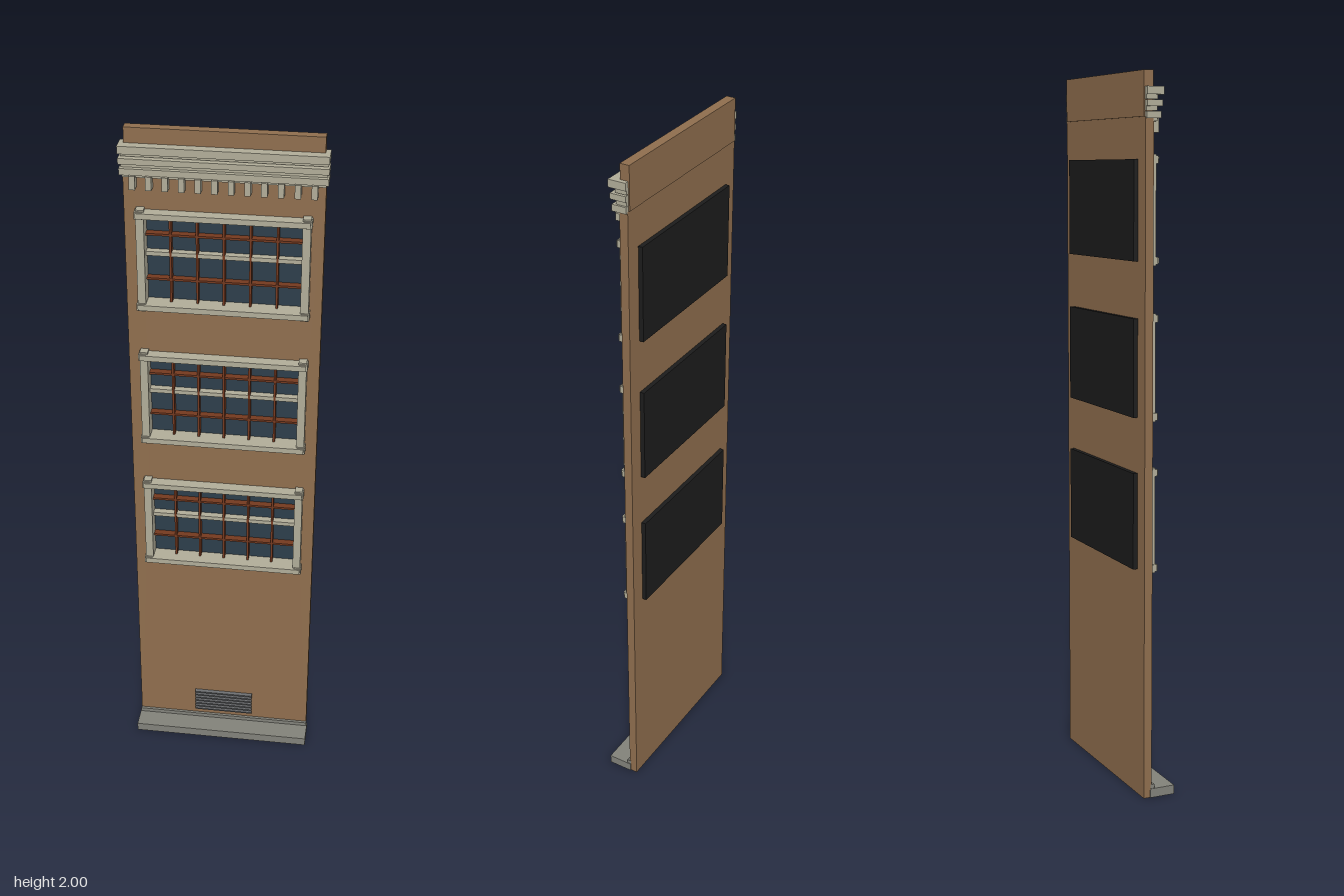
import * as THREE from 'three';

const material = (name, color) => {
  const m = new THREE.MeshStandardMaterial({ color });
  m.name = name;
  return m;
};

export function createModel() {
  const brick = material('brown wall', 0x8f6e4e);
  const stone = material('pale stone trim', 0xb1ad99);
  const plinthGrey = material('plinth grey', 0x82827a);
  const glassBlue = material('dark blue glass', 0x2d3e4b);
  const rust = material('rust glazing bar', 0x74391f);
  const black = material('black backing', 0x1c1c1c);
  const ventGrey = material('vent grey', 0x66686a);

  const model = new THREE.Group();
  model.name = 'facadePanel';

  // Box given by its limits on each axis
  const box = (parent, name, mat, [x0, x1], [y0, y1], [z0, z1]) => {
    const mesh = new THREE.Mesh(new THREE.BoxGeometry(x1 - x0, y1 - y0, z1 - z0), mat);
    mesh.position.set((x0 + x1) / 2, (y0 + y1) / 2, (z0 + z1) / 2);
    mesh.name = name;
    parent.add(mesh);
    return mesh;
  };
  const group = (name) => {
    const g = new THREE.Group();
    g.name = name;
    model.add(g);
    return g;
  };

  const windowCentres = [0.787, 1.211, 1.635];

  // Wall slab with three window openings
  const rectangle = (path, w, y0, y1) =>
    path.moveTo(-w, y0).lineTo(w, y0).lineTo(w, y1).lineTo(-w, y1).closePath();
  const wallShape = rectangle(new THREE.Shape(), 0.265, 0, 1.88);
  for (const y of windowCentres) {
    wallShape.holes.push(rectangle(new THREE.Path(), 0.215, y - 0.132, y + 0.132));
  }
  const wall = new THREE.Mesh(
    new THREE.ExtrudeGeometry(wallShape, { depth: 0.024, bevelEnabled: false }), brick);
  wall.position.z = -0.042;
  wall.name = 'wall';
  model.add(wall);
  box(model, 'parapet', brick, [-0.26, 0.26], [1.88, 2], [-0.045, -0.018]);

  // Stepped plinth
  const plinth = group('plinth');
  box(plinth, 'plinthBase', plinthGrey, [-0.268, 0.268], [0, 0.026], [-0.022, 0.051]);
  box(plinth, 'plinthStep', plinthGrey, [-0.266, 0.266], [0.026, 0.038], [-0.022, -0.01]);

  // Cornice mouldings and dentils
  const cornice = group('cornice');
  const bands = [
    [0.273, 1.937, 1.958, 0.009],
    [0.268, 1.925, 1.937, -0.008],
    [0.273, 1.907, 1.923, 0.004],
    [0.268, 1.895, 1.907, -0.01],
    [0.272, 1.876, 1.894, 0.0],
  ];
  for (const [w, y0, y1, z] of bands) {
    box(cornice, 'corniceBand', stone, [-w, w], [y0, y1], [-0.0415, z]);
  }
  box(cornice, 'dentilBacking', stone, [-0.265, 0.265], [1.868, 1.876], [-0.02, -0.008]);
  for (let i = 0; i < 12; i++) {
    const x = -0.237 + i * 0.0431;
    box(cornice, 'dentil', stone, [x - 0.008, x + 0.008], [1.839, 1.877], [-0.02, 0.007]);
  }

  // Windows: glass, frame, glazing bars and backing
  for (const y of windowCentres) {
    const win = group('window');
    box(win, 'backing', black, [-0.22, 0.22], [y - 0.135, y + 0.135], [-0.055, -0.0425]);
    box(win, 'glass', glassBlue, [-0.214, 0.214], [y - 0.131, y + 0.131], [-0.0424, -0.038]);
    for (const s of [-1, 1]) {
      const post = [s * 0.22 - 0.011, s * 0.22 + 0.011];
      box(win, 'framePost', stone, post, [y - 0.148, y + 0.148], [-0.04, 0.006]);
      const rail = y + s * 0.134;
      box(win, 'frameRail', stone, [-0.23, 0.23], [rail - 0.008, rail + 0.008], [-0.04, 0.015]);
      for (const t of [-1, 1]) {
        box(win, 'frameCorner', stone, [t * 0.223 - 0.011, t * 0.223 + 0.011],
          [rail - 0.01, rail + 0.01], [-0.018, 0.011]);
      }
    }
    box(win, 'transom', stone, [-0.21, 0.21], [y + 0.008, y + 0.02], [-0.038, -0.018]);
    for (let i = -2; i <= 2; i++) {
      box(win, 'verticalBar', rust, [i * 0.0715 - 0.003, i * 0.0715 + 0.003],
        [y - 0.127, y + 0.127], [-0.038, -0.016]);
    }
    for (const dy of [-0.06, 0.07]) {
      box(win, 'horizontalBar', rust, [-0.21, 0.21],
        [y + dy - 0.003, y + dy + 0.003], [-0.038, -0.017]);
    }
  }

  // Louvred vent near the ground
  const vent = group('vent');
  for (let i = 0; i < 7; i++) {
    const y = 0.06 + i * 0.0115;
    const slat = box(vent, 'ventSlat', ventGrey, [-0.09, 0.09],
      [y - 0.003, y + 0.003], [-0.021, -0.009]);
    slat.rotation.x = 0.25;
  }

  return model;
}
